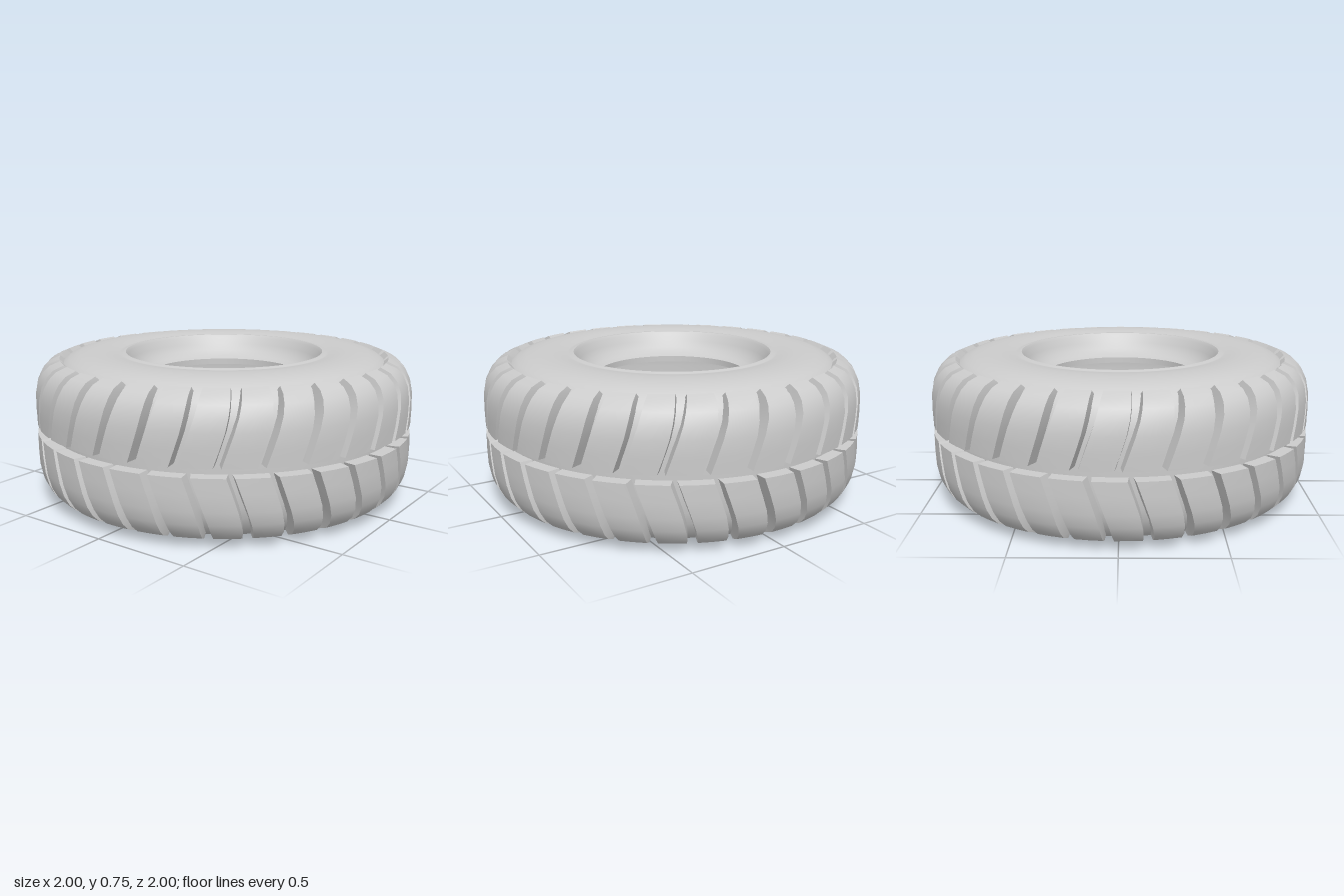
import * as THREE from 'three';
import { toCreasedNormals } from 'three/addons/utils/BufferGeometryUtils.js';

const MID = 0.377; // height of the tyre's middle plane
const LUGS = 32; // tread blocks per row
const PITCH = (Math.PI * 2) / LUGS;

// Upper half of the hollow carcass section: [radius, height above middle]
const HALF_PROFILE = [
  // outside, from the equator over the sidewall to the bead ring
  [0.935, 0], [0.935, 0.1], [0.93, 0.18], [0.915, 0.24], [0.89, 0.29], [0.86, 0.325],
  [0.82, 0.352], [0.77, 0.368], [0.71, 0.376], [0.65, 0.377], [0.59, 0.373], [0.56, 0.366],
  [0.547, 0.365], [0.537, 0.371], [0.525, 0.371], [0.513, 0.357],
  // dished bead and lip
  [0.497, 0.32], [0.473, 0.285], [0.44, 0.26], [0.4, 0.247], [0.4, 0.215],
  // inside of the cavity, back to the equator
  [0.45, 0.225], [0.49, 0.25], [0.53, 0.29], [0.58, 0.32], [0.65, 0.332], [0.72, 0.33],
  [0.78, 0.315], [0.83, 0.28], [0.865, 0.23], [0.885, 0.16], [0.89, 0.08],
];

// Stations along one tread block: [outer radius, outer height, base radius, base height, twist, half width]
const LUG_STATIONS = [
  [0.998, 0.022, 0.91, 0.022, 0, 0.079],
  [1.0, 0.1, 0.91, 0.1, 0.028, 0.079],
  [0.998, 0.18, 0.9, 0.17, 0.055, 0.078],
  [0.985, 0.245, 0.88, 0.22, 0.073, 0.075],
  [0.96, 0.295, 0.86, 0.26, 0.083, 0.073],
  [0.925, 0.33, 0.84, 0.285, 0.088, 0.071],
  [0.87, 0.353, 0.835, 0.32, 0.092, 0.069],
];

function carcassGeometry() {
  const lower = HALF_PROFILE.slice(1).reverse().map(([r, h]) => [r, -h]);
  const loop = [[0.89, 0], ...lower, ...HALF_PROFILE, [0.89, 0]];
  const points = loop.map(([r, h]) => new THREE.Vector2(r, MID + h));
  return toCreasedNormals(new THREE.LatheGeometry(points, 120), 0.8);
}

// Lofts a tread block through its stations; side is 1 for the upper row, -1 for the lower
function lugGeometry(side) {
  const positions = [];
  const index = [];
  const place = (r, h, a) => positions.push(r * Math.sin(a), MID + side * h, r * Math.cos(a));
  for (const [ro, ho, rb, hb, twist, w] of LUG_STATIONS) {
    place(rb, hb, twist - w * 1.16);
    place(ro, ho, twist - w);
    place(ro, ho, twist);
    place(ro, ho, twist + w);
    place(rb, hb, twist + w * 1.16);
  }
  const face = (a, b, c) => index.push(...(side > 0 ? [a, b, c] : [a, c, b]));
  const last = LUG_STATIONS.length - 1;
  for (let s = 0; s < last; s++) {
    for (let k = 0; k < 4; k++) {
      const a = s * 5 + k;
      face(a, a + 1, a + 6);
      face(a, a + 6, a + 5);
    }
  }
  // End walls at the centre groove and at the shoulder
  const e = last * 5;
  for (let k = 1; k < 4; k++) {
    face(0, k + 1, k);
    face(e, e + k, e + k + 1);
  }
  const geometry = new THREE.BufferGeometry();
  geometry.setAttribute('position', new THREE.Float32BufferAttribute(positions, 3));
  geometry.setIndex(index);
  return toCreasedNormals(geometry, 0.6);
}

export function createModel() {
  const material = new THREE.MeshStandardMaterial({ color: 0xcccccc });
  const tyre = new THREE.Group();
  tyre.name = 'tyre';

  const carcass = new THREE.Mesh(carcassGeometry(), material);
  carcass.name = 'carcass';
  tyre.add(carcass);

  // Two offset rows of slanted blocks forming a chevron tread
  for (const [name, side, phase] of [['upperTread', 1, PITCH / 2], ['lowerTread', -1, PITCH / 2 + 0.06]]) {
    const row = new THREE.Group();
    row.name = name;
    const geometry = lugGeometry(side);
    for (let i = 0; i < LUGS; i++) {
      const lug = new THREE.Mesh(geometry, material);
      lug.name = 'treadBlock';
      lug.rotation.y = phase + i * PITCH;
      row.add(lug);
    }
    tyre.add(row);
  }
  return tyre;
}
